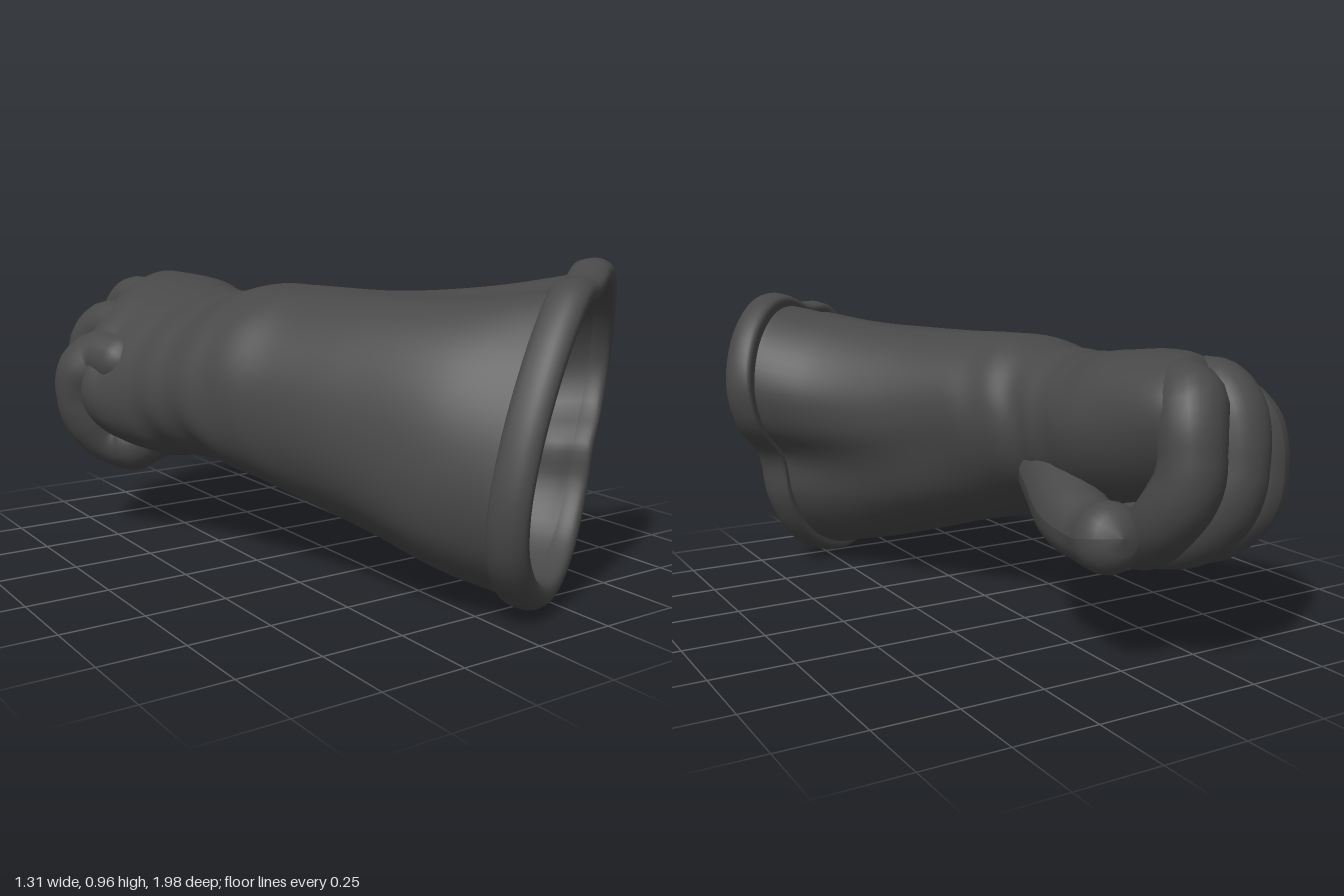
import * as THREE from 'three';

const SIDES = 72;

// Normalised outline of the cuff opening (u across, v up), counter-clockwise
const cuff = new THREE.CatmullRomCurve3([
  [1, .4], [.86, .72], [.57, .95], [.29, 1], [0, .92], [-.29, .9], [-.57, .68], [-.8, .36], [-.94, .04],
  [-1, -.32], [-.91, -.63], [-.63, -.89], [-.29, -1], [0, -.97], [.34, -.8], [.57, -.48], [.63, -.17], [.91, .1],
].map(([u, v]) => new THREE.Vector3(u, v, 0)), true);

// Cross-sections: left x, z; right x, z; top y; bottom y; roundness 0..1; tilt
const stations = [
  [-.05, .985, .65, .565, .955, .003, 0, 0],
  [-.08, .9, .57, .51, .915, .035, 0, 0],
  [-.185, .72, .445, .38, .88, .075, .3, 0],
  [-.275, .46, .305, .18, .86, .15, .6, 0],
  [-.36, .21, .2, .01, .855, .22, .8, .02],
  [-.44, .03, .13, -.14, .855, .27, .95, .03],
  [-.495, -.15, .07, -.29, .82, .305, 1, .04],
  [-.535, -.3, .06, -.42, .82, .29, 1, .06],
  [-.58, -.42, .065, -.56, .835, .305, 1, .08],
  [-.61, -.5, .03, -.74, .845, .34, 1, .09],
  [-.59, -.58, -.005, -.87, .83, .37, 1, .1],
  [-.54, -.67, -.03, -.93, .765, .43, 1, .09],
];

// One ring of points: scaled about its centre and shifted along the arm
function ring([lx, lz, rx, rz, top, bottom, round, tilt], scale = 1, shift = 0) {
  const pts = [];
  for (let j = 0; j < SIDES; j++) {
    const p = cuff.getPoint(j / SIDES);
    const k = 1 + round * (1 / Math.hypot(p.x, p.y) - 1);
    const u = p.x * k * scale, v = p.y * k * scale;
    // the open end bows forward and leans towards its top
    const bow = shift + (1 - round) * (.025 * (1 - p.x * p.x) + .04 * p.y);
    pts.push(new THREE.Vector3(
      (lx + rx) / 2 + u * (rx - lx) / 2 + bow * .5,
      (top + bottom) / 2 + v * (top - bottom) / 2 + u * tilt,
      (lz + rz) / 2 + u * (rz - lz) / 2 + bow * .87));
  }
  return pts;
}

// Smooth skin through a list of rings
function loft(rings, steps, swell = () => 1) {
  const pos = [], index = [];
  const curves = Array.from({ length: SIDES }, (_, j) => new THREE.CatmullRomCurve3(rings.map(r => r[j])));
  for (let i = 0; i <= steps; i++) {
    const row = curves.map(c => c.getPoint(i / steps));
    const mid = row.reduce((a, p) => a.add(p), new THREE.Vector3()).divideScalar(SIDES);
    row.forEach((p, j) => {
      p.sub(mid).multiplyScalar(swell(i / steps, j / SIDES)).add(mid);
      pos.push(p.x, p.y, p.z);
      if (i === steps) return;
      const a = i * SIDES + j, b = i * SIDES + (j + 1) % SIDES;
      index.push(a, a + SIDES, b, b, a + SIDES, b + SIDES);
    });
  }
  const g = new THREE.BufferGeometry();
  g.setAttribute('position', new THREE.Float32BufferAttribute(pos, 3));
  g.setIndex(index);
  g.computeVertexNormals();
  return g;
}

// Tapered round-ended tube with slight swelling at the joints
function digit(points, radii) {
  const rows = 48, sides = 20;
  const curve = new THREE.CatmullRomCurve3(points.map(p => new THREE.Vector3(...p)));
  const g = new THREE.TubeGeometry(curve, rows, 1, sides, false);
  const { position, normal } = g.attributes;
  const c = new THREE.Vector3(), n = new THREE.Vector3();
  for (let i = 0; i <= rows; i++) {
    const t = i / rows, f = t * (radii.length - 1), k = Math.min(Math.floor(f), radii.length - 2);
    const end = Math.min(1, t / .12, (1 - t) / .12);
    const r = THREE.MathUtils.lerp(radii[k], radii[k + 1], f - k) * Math.sqrt(Math.max(0, 1 - (1 - end) ** 2));
    curve.getPointAt(t, c);
    for (let j = 0; j <= sides; j++) {
      const v = i * (sides + 1) + j;
      n.fromBufferAttribute(normal, v).multiplyScalar(r).add(c);
      position.setXYZ(v, n.x, n.y, n.z);
    }
  }
  g.computeVertexNormals();
  return g;
}

export function createModel() {
  const group = new THREE.Group();
  const material = new THREE.MeshStandardMaterial({ color: 0x484848, side: THREE.DoubleSide });
  const add = (name, geometry) => {
    const mesh = new THREE.Mesh(geometry, material);
    mesh.name = name;
    group.add(mesh);
  };

  // Sleeve and hand, with soft creases around the wrist
  const outer = stations.slice(1).map(s => ring(s));
  outer.push(ring(stations[11], .6, -.03), ring(stations[11], 0, -.04));
  const crease = (t, a) => 1
    + .014 * Math.sin(t * 75 + 2 * Math.sin(a * Math.PI * 4)) * Math.exp(-(((t - .4) / .1) ** 2))
    + .005 * Math.sin(t * 30 + a * Math.PI * 10);
  add('sleeveAndHand', loft(outer, 110, crease));

  // Rolled rim around the opening
  const bead = [[.85, -.07], [.84, -.02], [.87, .012], [.95, .015], [1, -.015], [1, -.06], [.97, -.09], [.9, -.09]];
  add('cuffRim', loft(bead.map(([s, d]) => ring(stations[0], s, d)), 36));

  // Lining, from its closed end at the wrist out to the rim
  const lining = [ring(stations[7], 0), ring(stations[7], .6)];
  for (let i = 7; i >= 1; i--) lining.push(ring(stations[i], .9));
  lining.push(ring(stations[0], .85, -.03));
  add('lining', loft(lining, 54));

  // Curled fingers: back of hand, knuckle, middle joint, underside, tip
  const fingers = {
    indexFinger: [[-.15, .69, -.5], [-.13, .755, -.83], [-.1, .7, -.885], [-.085, .55, -.905], [-.07, .43, -.83], [-.09, .36, -.72], [-.09, .36, -.56]],
    middleFinger: [[-.27, .69, -.48], [-.285, .75, -.77], [-.285, .67, -.84], [-.265, .5, -.865], [-.23, .37, -.78], [-.2, .33, -.66], [-.19, .34, -.5]],
    ringFinger: [[-.38, .63, -.42], [-.435, .68, -.67], [-.455, .59, -.74], [-.44, .44, -.755], [-.38, .33, -.68], [-.34, .315, -.59], [-.31, .33, -.46]],
    littleFinger: [[-.46, .57, -.36], [-.52, .6, -.54], [-.56, .54, -.585], [-.56, .44, -.595], [-.49, .33, -.57], [-.44, .31, -.52], [-.4, .33, -.41]],
  };
  for (const [name, path] of Object.entries(fingers)) {
    add(name, digit(path, [.07, .09, .09, .1, .09, .095, .09, .095, .085]));
  }

  // Thumb folded along the side of the fist, and the pad at its base
  add('thumb', digit([[-.09, .5, -.24], [-.04, .44, -.4], [.025, .39, -.56], [.04, .375, -.7], [.065, .4, -.83]],
    [.09, .12, .12, .115, .105, .095, .1, .085]));
  add('thumbPad', digit([[-.14, .45, -.2], [-.13, .4, -.34], [-.08, .38, -.52]], [.08, .1, .1, .08]));

  return group;
}
